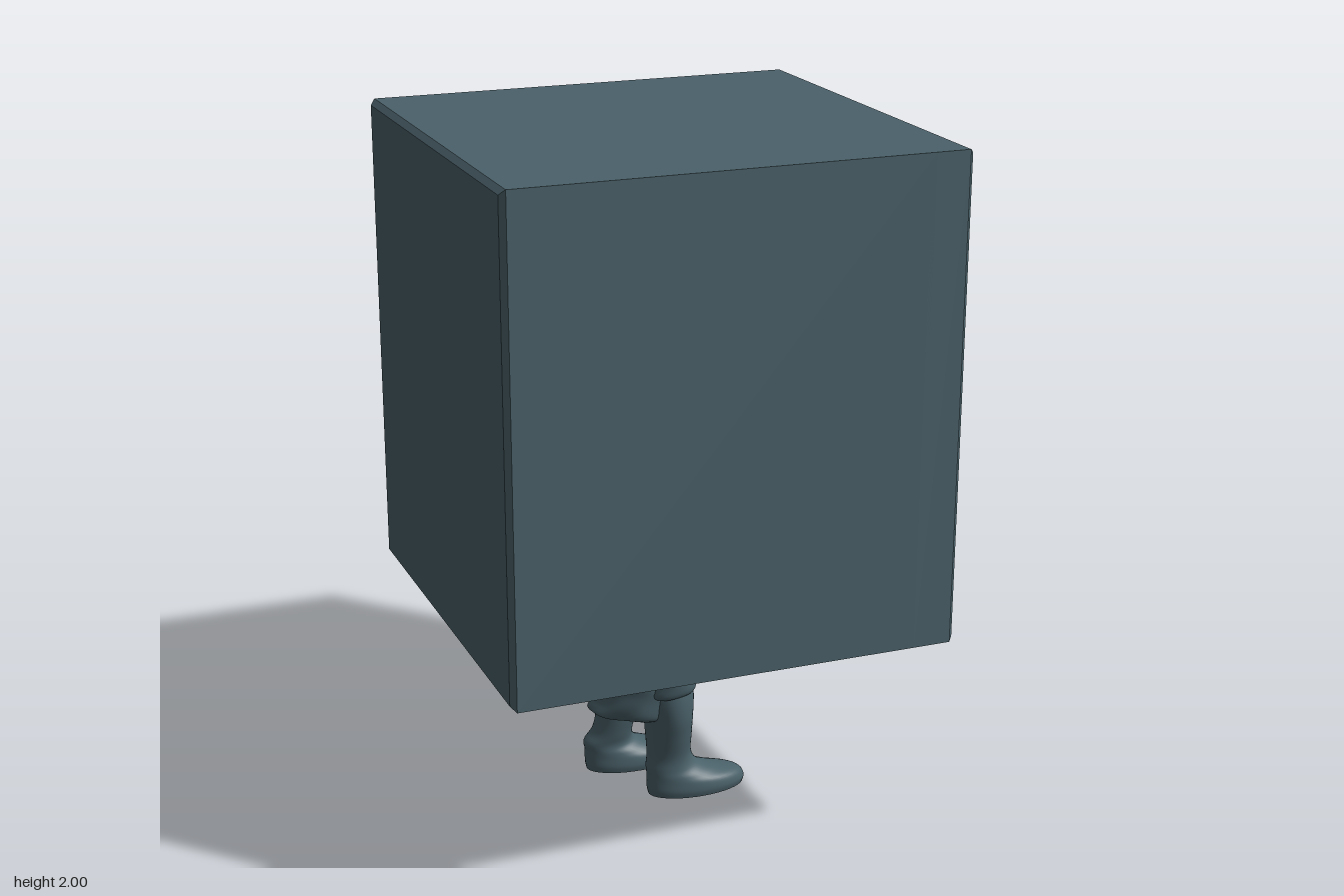
import * as THREE from 'three';

// Extrude an outline given as [u, y] (u = -z) along x, from x0 to x1
function slab(points, x0, x1, bevel = 0, holes = []) {
  const toPath = (pts, P) => new P(pts.map(p => new THREE.Vector2(p[0], p[1])));
  const shape = toPath(points, THREE.Shape);
  holes.forEach(h => shape.holes.push(toPath(h, THREE.Path)));
  const g = new THREE.ExtrudeGeometry(shape, {
    depth: x1 - x0 - 2 * bevel, bevelEnabled: bevel > 0, bevelThickness: bevel,
    bevelSize: bevel, bevelOffset: -bevel, bevelSegments: 1, curveSegments: 8,
  });
  g.translate(0, 0, x0 + bevel);
  g.rotateY(Math.PI / 2);
  return g;
}

const rect = (u0, u1, y0, y1) => [[u0, y0], [u1, y0], [u1, y1], [u0, y1]];

// Closed loft through rows [y, cx, cz, rx, rz]; fold adds cloth wrinkles
function loft(rows, fold = 0, tilt = 0) {
  const N = 40, M = rows.length * 5, pos = [], idx = [];
  const sample = (t, k) => {
    const f = t * (rows.length - 1), i = Math.min(Math.floor(f), rows.length - 2), s = f - i;
    const r = n => rows[Math.max(0, Math.min(rows.length - 1, n))][k];
    const [a, b, c, d] = [r(i - 1), r(i), r(i + 1), r(i + 2)];
    return b + 0.5 * s * (c - a + s * (2 * a - 5 * b + 4 * c - d + s * (3 * (b - c) + d - a)));
  };
  for (let i = 0; i <= M; i++) {
    const t = i / M, [y, cx, cz, rx, rz] = [0, 1, 2, 3, 4].map(k => sample(t, k));
    for (let j = 0; j < N; j++) {
      const a = j / N * Math.PI * 2;
      const w = 1 + fold * (Math.sin(5 * a + 30 * y) + 0.6 * Math.sin(3 * a - 52 * y));
      const dx = Math.cos(a) * rx * w;
      pos.push(cx + dx, Math.max(0, y + tilt * dx * (1 - t)), cz + Math.sin(a) * rz * w);
    }
  }
  for (let i = 0; i < M; i++) for (let j = 0; j < N; j++) {
    const k = (j + 1) % N, a = i * N + j, b = i * N + k, c = a + N, d = b + N;
    idx.push(a, c, b, b, c, d);
  }
  // end caps
  [0, M].forEach(i => {
    const [y, cx, cz] = [0, 1, 2].map(k => sample(i / M, k)), base = pos.length / 3;
    pos.push(cx, y, cz);
    for (let j = 0; j < N; j++) pos.push(...pos.slice((i * N + j) * 3, (i * N + j) * 3 + 3));
    for (let j = 0; j < N; j++) {
      const a = base + 1 + j, b = base + 1 + (j + 1) % N;
      idx.push(base, ...(i === 0 ? [a, b] : [b, a]));
    }
  });
  const g = new THREE.BufferGeometry();
  g.setAttribute('position', new THREE.Float32BufferAttribute(pos, 3));
  g.setIndex(idx);
  g.computeVertexNormals();
  return g;
}

export function createModel() {
  const model = new THREE.Group();
  const slate = new THREE.MeshStandardMaterial({ color: 0x4a6169 });
  slate.name = 'slate';
  const add = (name, geometry, parent = model) => {
    const m = new THREE.Mesh(geometry, slate);
    m.name = name;
    parent.add(m);
    return m;
  };

  // Cabinet: solid core plus a facing plate with two recesses
  const outline = rect(-0.6, 0.6, 0.635, 2);
  const screenHole = rect(-0.535, 0.395, 1.105, 1.825);
  const panelHole = [[-0.485, 0.705], [0.35, 0.705], [0.395, 0.76], [0.395, 0.97],
    [0.33, 1.035], [-0.45, 1.035], [-0.475, 1.02], [-0.485, 0.99]];
  add('cabinet', slab(outline, -0.635, 0.54, 0.015));
  add('facingPlate', slab(outline, 0.5, 0.632, 0.012, [screenHole, panelHole]));

  // Screen stands proud of the deeper strip above it
  add('screen', slab(rect(-0.537, 0.397, 1.1, 1.68), 0.53, 0.595));

  // Lower panel: sill, corner block and rosette knob
  add('panelSill', slab([[-0.487, 0.7], [0.35, 0.7], [0.395, 0.755], [0.395, 0.77], [-0.487, 0.77]], 0.53, 0.575));
  add('cornerBlock', slab([[0.16, 0.89], [0.19, 0.875], [0.398, 0.87], [0.398, 0.96],
    [0.33, 1.037], [0.16, 1.037]], 0.53, 0.622, 0.008));
  const knob = new THREE.Group();
  knob.name = 'knob';
  knob.position.set(0.575, 0.972, 0.38);
  model.add(knob);
  const disc = add('knobDisc', new THREE.CylinderGeometry(0.065, 0.075, 0.08, 24), knob);
  disc.rotation.z = -Math.PI / 2;
  for (let i = 0; i < 9; i++) {
    const a = i / 9 * Math.PI * 2;
    const petal = add('knobPetal', new THREE.SphereGeometry(0.024, 12, 8), knob);
    petal.position.set(0.028, Math.sin(a) * 0.05, Math.cos(a) * 0.075);
  }
  add('knobCentre', new THREE.SphereGeometry(0.025, 12, 8), knob).position.x = 0.04;

  // Legs with shoes, toes pointing to +x
  const shoe = (x, z) => [
    [0, x + 0.12, z, 0.148, 0.072], [0.02, x + 0.12, z, 0.152, 0.077],
    [0.045, x + 0.11, z, 0.143, 0.075], [0.065, x + 0.075, z, 0.108, 0.068],
    [0.09, x + 0.045, z, 0.08, 0.06]];
  add('nearLeg', loft([...shoe(0, -0.005),
    [0.13, 0.035, -0.005, 0.066, 0.062], [0.2, 0.033, -0.005, 0.067, 0.083],
    [0.27, 0.03, 0, 0.07, 0.096], [0.35, 0.02, 0, 0.08, 0.1], [0.45, 0, 0, 0.08, 0.09]]));
  add('farLeg', loft([...shoe(-0.115, -0.225),
    [0.13, -0.065, -0.215, 0.06, 0.06], [0.2, -0.05, -0.21, 0.062, 0.07],
    [0.3, -0.04, -0.21, 0.07, 0.08], [0.4, -0.04, -0.2, 0.07, 0.08]]));

  // Baggy breeches and hips reaching into the cabinet
  add('farBreeches', loft([
    [0.235, -0.045, -0.22, 0.06, 0.06], [0.26, -0.045, -0.225, 0.085, 0.085],
    [0.34, -0.04, -0.225, 0.105, 0.1], [0.42, -0.04, -0.205, 0.12, 0.11],
    [0.52, -0.05, -0.13, 0.13, 0.12], [0.62, -0.09, -0.05, 0.1, 0.1]], 0.025));
  add('nearBreeches', loft([
    [0.34, 0.01, 0.005, 0.07, 0.085], [0.36, 0.01, 0.005, 0.09, 0.112],
    [0.43, 0, 0.005, 0.1, 0.12], [0.54, -0.05, 0.015, 0.125, 0.125],
    [0.65, -0.11, 0.02, 0.12, 0.12]], 0.03));
  add('hips', loft([
    [0.37, -0.04, -0.1, 0.09, 0.14], [0.41, -0.045, -0.1, 0.13, 0.2],
    [0.5, -0.065, -0.065, 0.155, 0.185], [0.57, -0.095, -0.025, 0.15, 0.165],
    [0.66, -0.12, 0.005, 0.135, 0.145]], 0.025));

  // Coat tail hanging at the back of the near leg
  add('coatTail', loft([
    [0.27, -0.085, 0.0, 0.1, 0.055], [0.29, -0.095, 0.0, 0.115, 0.075],
    [0.36, -0.085, 0.015, 0.1, 0.085], [0.46, -0.11, 0.03, 0.095, 0.095],
    [0.54, -0.145, 0.03, 0.09, 0.1], [0.65, -0.16, 0.03, 0.09, 0.1]], 0.045, -0.2));
  return model;
}
